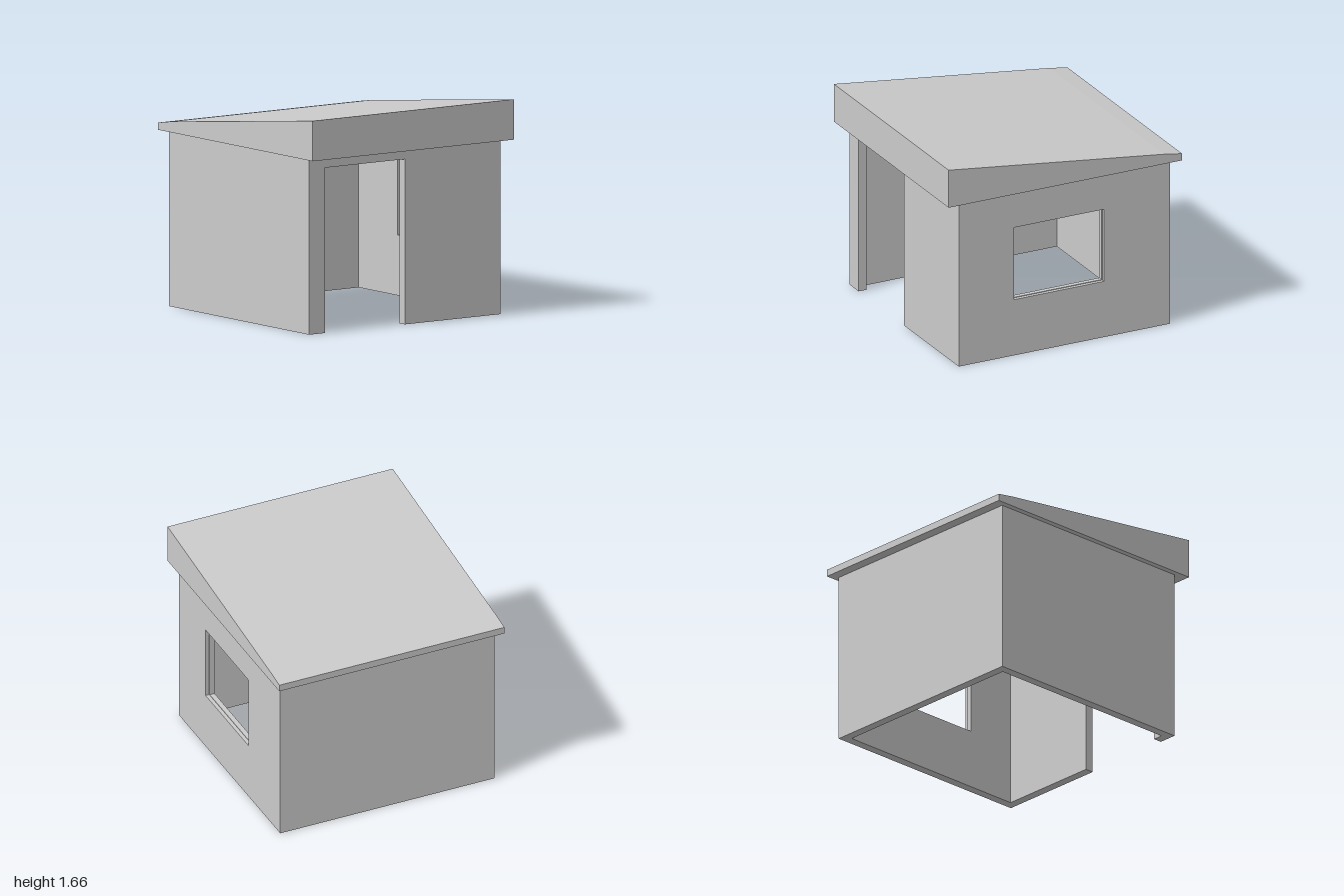
import * as THREE from 'three';

const material = new THREE.MeshStandardMaterial({ color: 0xcccccc, flatShading: true });

const WALL_H = 1.35, HALF_W = 0.9, FRONT = 0.89, BACK = -0.92, T = 0.07;

const polygon = (points) => new THREE.Shape(points.map(([x, y]) => new THREE.Vector2(x, y)));
const rect = (a, b, c, d) => [[a, c], [b, c], [b, d], [a, d]];

function addMesh(parent, name, geometry) {
  const mesh = new THREE.Mesh(geometry, material);
  mesh.name = name;
  parent.add(mesh);
  return mesh;
}

// Profile in the x-y plane, extruded forward from z
function frontPanel(shape, z, depth) {
  return new THREE.ExtrudeGeometry(shape, { depth, bevelEnabled: false }).translate(0, 0, z);
}

// Profile given as (z, y), extruded inward (-x) from x
function sidePanel(shape, x, depth) {
  return new THREE.ExtrudeGeometry(shape, { depth, bevelEnabled: false })
    .rotateY(-Math.PI / 2)
    .translate(x, 0, 0);
}

export function createModel() {
  const shed = new THREE.Group();
  shed.name = 'shed';
  const walls = new THREE.Group();
  walls.name = 'walls';
  shed.add(walls);

  // Plain left-hand and back walls
  const side = rect(BACK, FRONT, 0, WALL_H);
  const inner = HALF_W - T;
  addMesh(walls, 'plainSideWall', sidePanel(polygon(side), -inner, T));
  addMesh(walls, 'backWall', frontPanel(polygon(rect(-inner, inner, 0, WALL_H)), BACK, T));

  // Front wall with a doorway open down to the ground
  const front = polygon([
    [-inner, 0], [-0.75, 0], [-0.75, 1.27], [0, 1.27],
    [0, 0], [inner, 0], [inner, WALL_H], [-inner, WALL_H],
  ]);
  addMesh(walls, 'frontWall', frontPanel(front, FRONT - T, T));

  // Window wall in two layers, the inner opening slightly smaller as a rebate
  const layers = [
    ['windowWallOuter', HALF_W, 0.03, rect(-0.355, 0.415, 0.46, 1.055)],
    ['windowWallInner', HALF_W - 0.03, T - 0.03, rect(-0.35, 0.405, 0.465, 1.05)],
  ];
  for (const [name, x, depth, opening] of layers) {
    const shape = polygon(side);
    shape.holes.push(polygon(opening));
    addMesh(walls, name, sidePanel(shape, x, depth));
  }

  // Solid sloping roof, flat underneath, dipping a little more at the back edge
  const roof = polygon([
    [-1, WALL_H], [1, WALL_H], [1, 1.66], [-0.85, 1.43], [-1, 1.405],
  ]);
  addMesh(shed, 'roof', sidePanel(roof, 0.945, 1.89));

  return shed;
}
